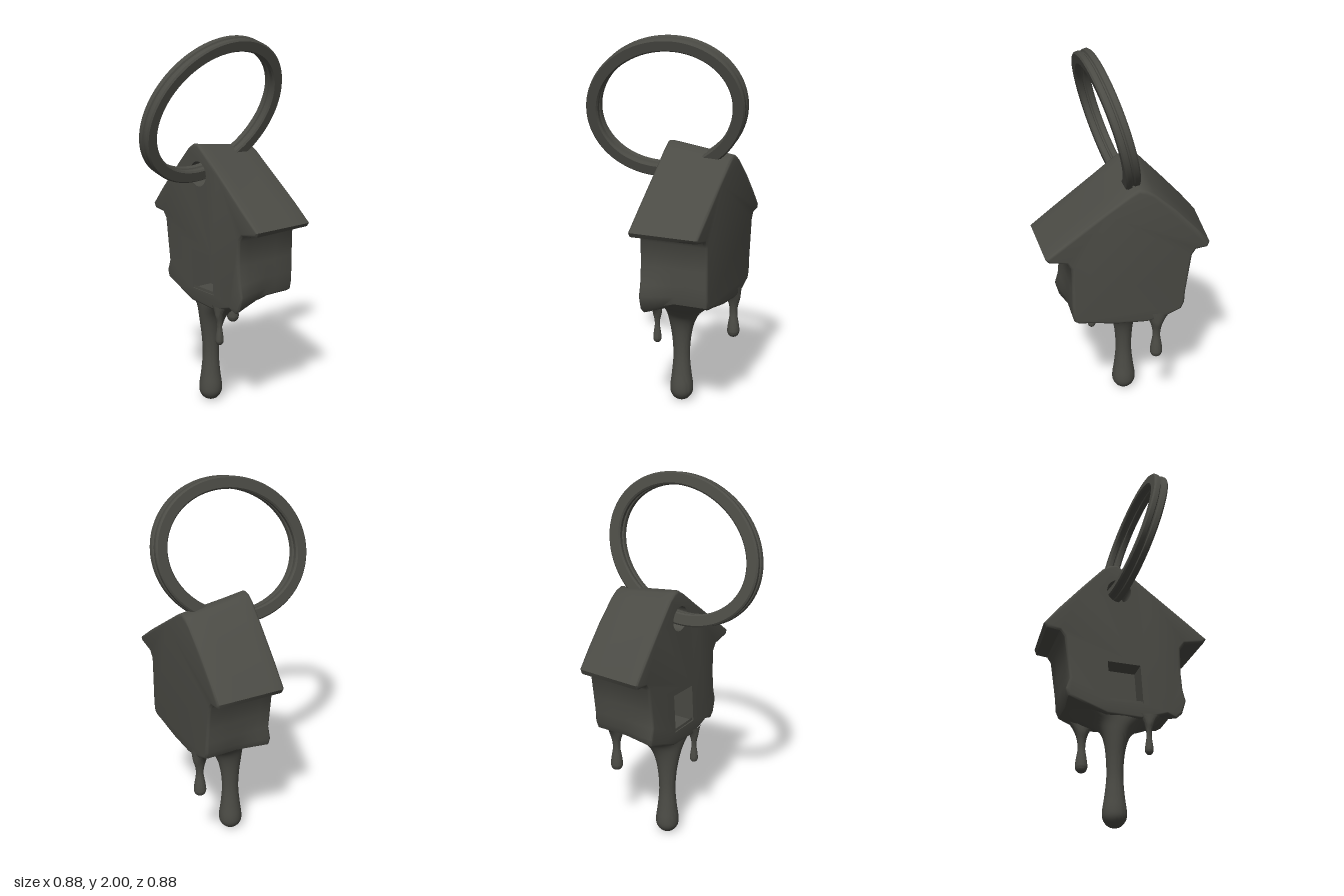
import * as THREE from 'three';
import { mergeGeometries, toCreasedNormals } from 'three/addons/utils/BufferGeometryUtils.js';

const charcoal = new THREE.MeshStandardMaterial({ color: 0x4b4b45 });
charcoal.name = 'charcoal';

const V3 = (x, y, z) => new THREE.Vector3(x, y, z);

// Skin a list of closed cross-sections.
function loft(rows) {
  const n = rows[0].length, index = [];
  const position = rows.flatMap((row) => row.flatMap((p) => [p.x, p.y, p.z]));
  for (let i = 0; i < rows.length - 1; i++) {
    for (let j = 0; j < n; j++) {
      const a = i * n + j, b = i * n + (j + 1) % n;
      index.push(a, a + n, b + n, a, b + n, b);
    }
  }
  const g = new THREE.BufferGeometry();
  g.setAttribute('position', new THREE.Float32BufferAttribute(position, 3));
  g.setIndex(index);
  return g.toNonIndexed();
}

// Flat plate with optional holes, facing +z or -z.
function plate(points, z, holes = [], flip = false) {
  const shape = new THREE.Shape(points);
  shape.holes = holes.map((h) => new THREE.Path(h));
  const g = new THREE.ShapeGeometry(shape);
  if (flip) g.index.array.reverse();
  g.translate(0, 0, z);
  g.deleteAttribute('uv');
  g.deleteAttribute('normal');
  return g.toNonIndexed();
}

function mesh(name, geometry, crease = 0.75) {
  const m = new THREE.Mesh(toCreasedNormals(geometry, crease), charcoal);
  m.name = name;
  return m;
}

// Move each outline point inwards by d.
function inset(points, d) {
  const n = points.length;
  return points.map((p, i) => {
    const e1 = p.clone().sub(points[(i + n - 1) % n]).normalize();
    const e2 = points[(i + 1) % n].clone().sub(p).normalize();
    const m = new THREE.Vector2(-e1.y - e2.y, e1.x + e2.x).normalize();
    const k = Math.max(0.6, m.x * -e1.y + m.y * e1.x);
    return p.clone().addScaledVector(m, d / k);
  });
}

// House outline, anticlockwise from the ridge: front x, y, then back x, y.
const OUTLINE = [
  [-0.05, 1.433, -0.05, 1.385], [-0.09, 1.428, -0.09, 1.375], [-0.13, 1.40, -0.13, 1.35],
  [-0.24, 1.28, -0.24, 1.25], [-0.36, 1.145, -0.35, 1.13], [-0.44, 1.045, -0.42, 1.045],
  [-0.425, 1.018, -0.41, 1.018], [-0.355, 1.01, -0.35, 1.01], [-0.33, 0.98, -0.33, 0.98],
  [-0.312, 0.85, -0.312, 0.85], [-0.298, 0.75, -0.30, 0.76], [-0.318, 0.69, -0.297, 0.70],
  [-0.305, 0.65, -0.28, 0.66], [-0.20, 0.61, -0.2, 0.625], [-0.10, 0.57, -0.1, 0.605],
  [0.08, 0.56, 0.06, 0.615], [0.16, 0.58, 0.15, 0.63], [0.22, 0.60, 0.21, 0.64],
  [0.27, 0.583, 0.26, 0.645], [0.30, 0.61, 0.285, 0.66], [0.322, 0.685, 0.293, 0.70],
  [0.305, 0.745, 0.295, 0.76], [0.295, 0.85, 0.295, 0.85], [0.297, 0.98, 0.297, 0.98],
  [0.32, 1.012, 0.32, 1.012], [0.425, 1.03, 0.41, 1.03], [0.44, 1.055, 0.425, 1.05],
  [0.32, 1.15, 0.31, 1.14], [0.12, 1.305, 0.12, 1.275], [0, 1.40, 0, 1.36],
];
const Z_FRONT = 0.03, Z_BACK = -0.34, BEVEL = 0.014;

function outlineAt(z) {
  // The drooping lip fades quickly behind the front face.
  const t = (Z_FRONT - z) / (Z_FRONT - Z_BACK), lip = Math.min(1, t * 2);
  return OUTLINE.map(([x, y, bx, by]) => {
    const k = y < 0.8 ? lip : t;
    return new THREE.Vector2(x + (bx - x) * k, y + (by - y) * k);
  });
}

const DOOR = [[-0.10, 0.862], [-0.085, 0.645], [0.09, 0.645], [0.075, 0.855]]
  .map(([x, y]) => new THREE.Vector2(x, y));
const KEYHOLE = Array.from({ length: 32 }, (_, i) => {
  const a = i / 32 * Math.PI * 2;
  return new THREE.Vector2(-0.04 + 0.066 * Math.cos(a), 1.275 + 0.066 * Math.sin(a));
});

function house() {
  const sections = [];
  for (let k = 0; k <= 3; k++) {
    const a = k / 3 * Math.PI / 2;
    sections.push([Z_FRONT - BEVEL * (1 - Math.cos(a)), BEVEL * (1 - Math.sin(a))]);
  }
  const back = sections.map(([z, d]) => [Z_BACK + Z_FRONT - z, d]).reverse();
  const all = [...sections, [-0.04, 0], [-0.1, 0], [-0.155, 0], [-0.22, 0], ...back];
  const outlines = all.map(([z, d]) => inset(outlineAt(z), d));
  const rows = outlines.map((o, i) => o.map((p) => V3(p.x, p.y, all[i][0])));
  return mesh('house', mergeGeometries([
    loft(rows),
    plate(outlines[0], Z_FRONT, [DOOR, KEYHOLE]),
    plate(outlines.at(-1), Z_BACK, [], true),
  ]));
}

// Blind pocket cut behind the front face.
function recess(name, points, depth) {
  const inward = [...points].reverse();
  const rows = [Z_FRONT, Z_FRONT - depth].map((z) => inward.map((p) => V3(p.x, p.y, z)));
  return mesh(name, mergeGeometries([loft(rows), plate(points, Z_FRONT - depth)]));
}

// Melted drip from rows of y, x min, x max, z min, z max, rising from the tip.
function drip(name, table) {
  const curve = (xi, zi) => new THREE.CatmullRomCurve3(
    table.map((r) => V3(r[xi], r[0], r[zi])), false, 'catmullrom');
  const low = curve(1, 3), high = curve(2, 4), steps = (table.length - 1) * 4, rows = [];
  for (let i = 0; i <= steps; i++) {
    const a = low.getPoint(i / steps), b = high.getPoint(i / steps);
    // Sections turn from round to squarish as they spread under the house.
    const e = 1 - 0.4 * THREE.MathUtils.smoothstep(b.x - a.x, 0.15, 0.45);
    const round = (v) => Math.sign(v) * Math.abs(v) ** e;
    rows.push(Array.from({ length: 36 }, (_, j) => {
      const t = j / 36 * Math.PI * 2;
      return V3((a.x + b.x) / 2 + (b.x - a.x) / 2 * round(Math.cos(t)), a.y,
        (a.z + b.z) / 2 + (b.z - a.z) / 2 * round(Math.sin(t)));
    }));
  }
  return mesh(name, loft(rows), 1.2);
}

// Small teardrop: centre, tip height, bulb radius and top height.
function smallDrip(name, x, z, tip, r, top) {
  const h = top - tip;
  const profile = [[0, 0], [0.02, 0.55], [0.07, 0.9], [0.14, 1], [0.28, 0.85],
    [0.45, 0.62], [0.6, 0.7], [0.75, 1.05], [0.88, 1.7], [1, 2.7]];
  return drip(name, profile.map(([t, k]) =>
    [tip + t * h, x - r * k, x + r * k, z - r * Math.min(k, 1.1), z + r * Math.min(k, 1.1)]));
}

// Leaning oval split ring, grooved between its two coils.
function splitRing() {
  const centre = V3(0.045, 1.62, 0);
  const up = V3(0.25, 0.965, -0.08).normalize(), side = V3(0.03, -0.08, 1).normalize();
  const normal = up.clone().cross(side).normalize();
  const a = 0.35, b = 0.406, w = 0.038, r = 0.033;
  const half = [[r * 0.72, 0.003], [r * 0.95, 0.008], [r, 0.014], [r, w - 0.008], [r - 0.008, w]];
  const upper = [...half, ...half.map(([x, y]) => [-x, y]).reverse()];
  const section = [...upper, ...upper.map(([x, y]) => [x, -y]).reverse()];
  const rows = [];
  for (let i = 0; i <= 96; i++) {
    const t = (i % 96) / 96 * Math.PI * 2, c = Math.cos(t), s = Math.sin(t);
    const p = centre.clone().addScaledVector(up, a * c).addScaledVector(side, b * s);
    const out = up.clone().multiplyScalar(b * c).addScaledVector(side, a * s).normalize();
    rows.push(section.map(([x, y]) =>
      p.clone().addScaledVector(out, x).addScaledVector(normal, y)));
  }
  return mesh('splitRing', loft(rows), 0.7);
}

export function createModel() {
  const model = new THREE.Group();
  model.name = 'meltingHouseKeyring';
  model.add(
    house(),
    recess('doorway', DOOR, 0.12),
    recess('ringHole', KEYHOLE, 0.16),
    drip('mainDrip', [
      [0, -0.041, -0.039, -0.056, -0.054], [0.012, -0.075, -0.005, -0.09, -0.02],
      [0.045, -0.099, 0.019, -0.114, 0.004], [0.09, -0.102, 0.022, -0.117, 0.006],
      [0.16, -0.092, 0.012, -0.108, -0.002], [0.26, -0.082, 0.004, -0.1, -0.01],
      [0.36, -0.084, 0.008, -0.107, -0.004], [0.44, -0.092, 0.022, -0.125, 0.008],
      [0.50, -0.106, 0.05, -0.155, 0.018], [0.545, -0.13, 0.10, -0.205, 0.024],
      [0.58, -0.165, 0.16, -0.255, 0.026], [0.615, -0.21, 0.21, -0.305, 0.026],
      [0.66, -0.27, 0.26, -0.33, 0.024],
    ]),
    smallDrip('frontDrip', 0.123, 0.014, 0.375, 0.022, 0.59),
    smallDrip('backDrip', -0.157, -0.306, 0.36, 0.033, 0.65),
    splitRing(),
  );
  return model;
}
